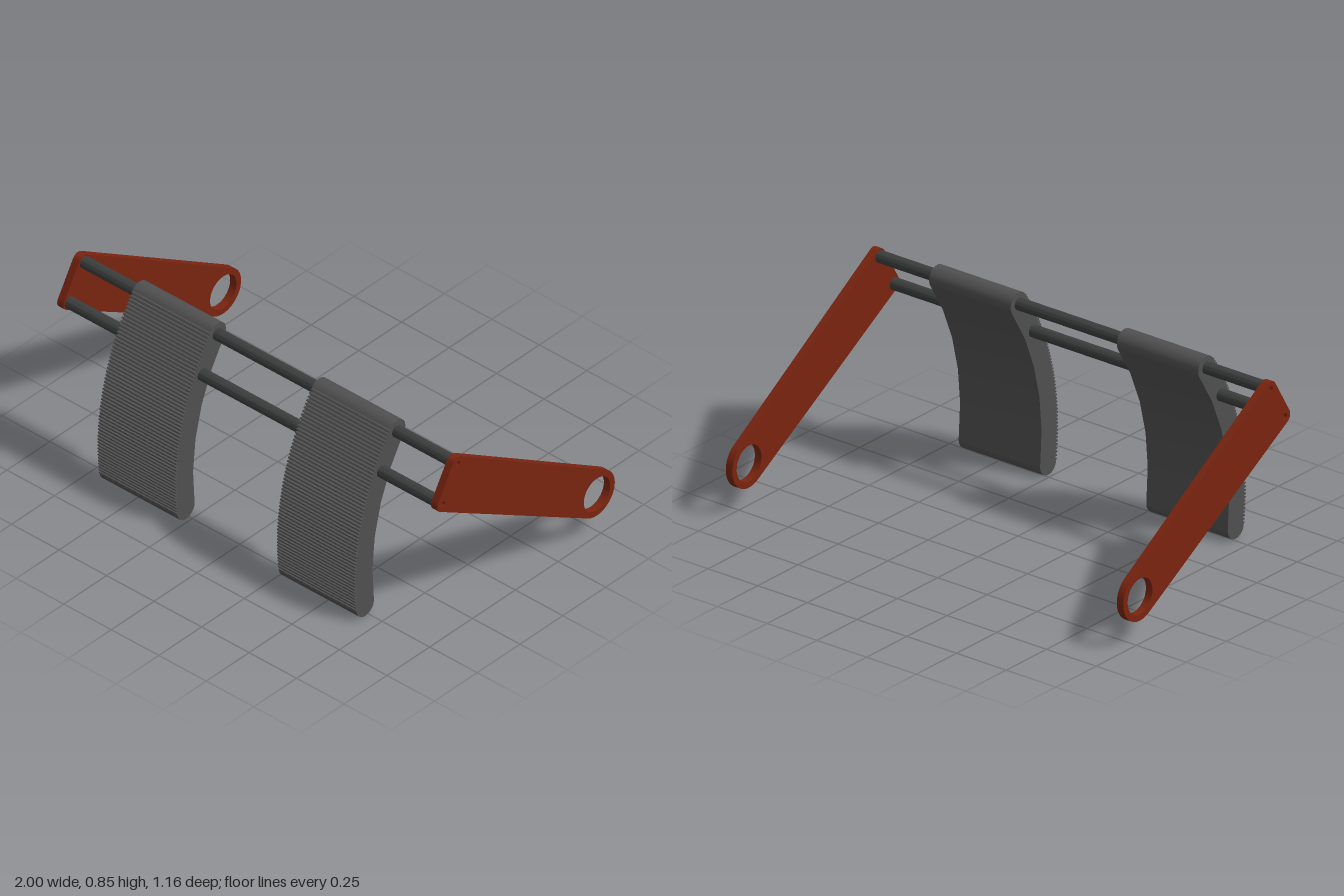
import * as THREE from 'three';
import { toCreasedNormals } from 'three/addons/utils/BufferGeometryUtils.js';

// Profiles are drawn in (u, v) = (-z, y) and extruded along x.
const TOP = { u: -0.335, v: 0.803 };
const LOW = { u: -0.423, v: 0.655 };
const EYE = { u: 0.477, v: 0.203 };
const ROD_R = 0.026, BORE_R = 0.0125;

function circleHole(c, r) {
  return new THREE.Path().absarc(c.u, c.v, r, 0, Math.PI * 2, true);
}

function extrudeX(shape, x0, x1) {
  const geo = new THREE.ExtrudeGeometry(shape, { depth: x1 - x0, bevelEnabled: false, curveSegments: 32 });
  geo.rotateY(Math.PI / 2);
  geo.translate(x0, 0, 0);
  return toCreasedNormals(geo, 0.45);
}

// Outline wrapped tightly round a counter-clockwise list of circles.
function wrapCircles(circles) {
  const n = circles.length;
  const normal = circles.map((a, i) => {
    const b = circles[(i + 1) % n];
    const du = b.u - a.u, dv = b.v - a.v;
    return Math.atan2(dv, du) - Math.acos((a.r - b.r) / Math.hypot(du, dv));
  });
  const shape = new THREE.Shape();
  circles.forEach((c, i) => shape.absarc(c.u, c.v, c.r, normal[(i + n - 1) % n], normal[i], false));
  return shape;
}

function armShape() {
  const shape = wrapCircles([{ ...EYE, r: 0.104 }, { ...TOP, r: 0.033 }, { ...LOW, r: 0.033 }]);
  shape.holes.push(circleHole(EYE, 0.077), circleHole(TOP, BORE_R), circleHole(LOW, BORE_R));
  return shape;
}

// Curved pad: ribbed front, faceted back, round ends.
function padShape() {
  const cz = -0.544, cy = 0.19, R = 1.07, half = 0.05;
  const a0 = -0.131, a1 = 0.609, teeth = 54;
  const pts = [];
  const at = (r, a) => new THREE.Vector2(-(cz + r * Math.cos(a)), cy + r * Math.sin(a));
  const cap = (a, from, to) => {
    const c = at(R, a);
    for (let i = 0; i <= 16; i++) {
      const t = a + from + (to - from) * i / 16;
      pts.push(new THREE.Vector2(c.x - half * Math.cos(t), c.y + half * Math.sin(t)));
    }
  };
  // ribs up the front
  const step = (a1 - a0) / teeth;
  for (let i = 0; i < teeth; i++) {
    const a = a0 + i * step;
    pts.push(at(R + 0.041, a + step * 0.1), at(R + 0.053, a + step * 0.3));
    pts.push(at(R + 0.053, a + step * 0.7), at(R + 0.041, a + step * 0.9));
  }
  cap(a1, 0, Math.PI);
  // five flat spans down the back
  for (let i = 4; i > 0; i--) pts.push(at(R - half, a0 + (a1 - a0) * i / 5));
  cap(a0, Math.PI, Math.PI * 2);
  const shape = new THREE.Shape(pts);
  shape.holes.push(circleHole(TOP, ROD_R), circleHole(LOW, ROD_R));
  return shape;
}

function rodShape(c) {
  const shape = new THREE.Shape().absarc(c.u, c.v, ROD_R, 0, Math.PI * 2, false);
  shape.holes.push(circleHole(c, BORE_R));
  return shape;
}

export function createModel() {
  const rust = new THREE.MeshStandardMaterial({ color: 0x7a2410 });
  rust.name = 'rust red';
  const rubber = new THREE.MeshStandardMaterial({ color: 0x505050 });
  rubber.name = 'rubber grey';
  const steel = new THREE.MeshStandardMaterial({ color: 0x3c3e3e });
  steel.name = 'dark steel';

  const model = new THREE.Group();
  model.name = 'paddedBarFrame';
  const add = (name, geo, mat) => {
    const mesh = new THREE.Mesh(geo, mat);
    mesh.name = name;
    model.add(mesh);
  };

  // side arms
  add('leftArm', extrudeX(armShape(), 0.967, 1), rust);
  add('rightArm', extrudeX(armShape(), -1, -0.967), rust);

  // hollow cross rods
  add('upperRod', extrudeX(rodShape(TOP), -0.967, 0.967), steel);
  add('lowerRod', extrudeX(rodShape(LOW), -0.967, 0.967), steel);

  // ribbed pads
  add('leftPad', extrudeX(padShape(), 0.267, 0.677), rubber);
  add('rightPad', extrudeX(padShape(), -0.677, -0.267), rubber);

  return model;
}
